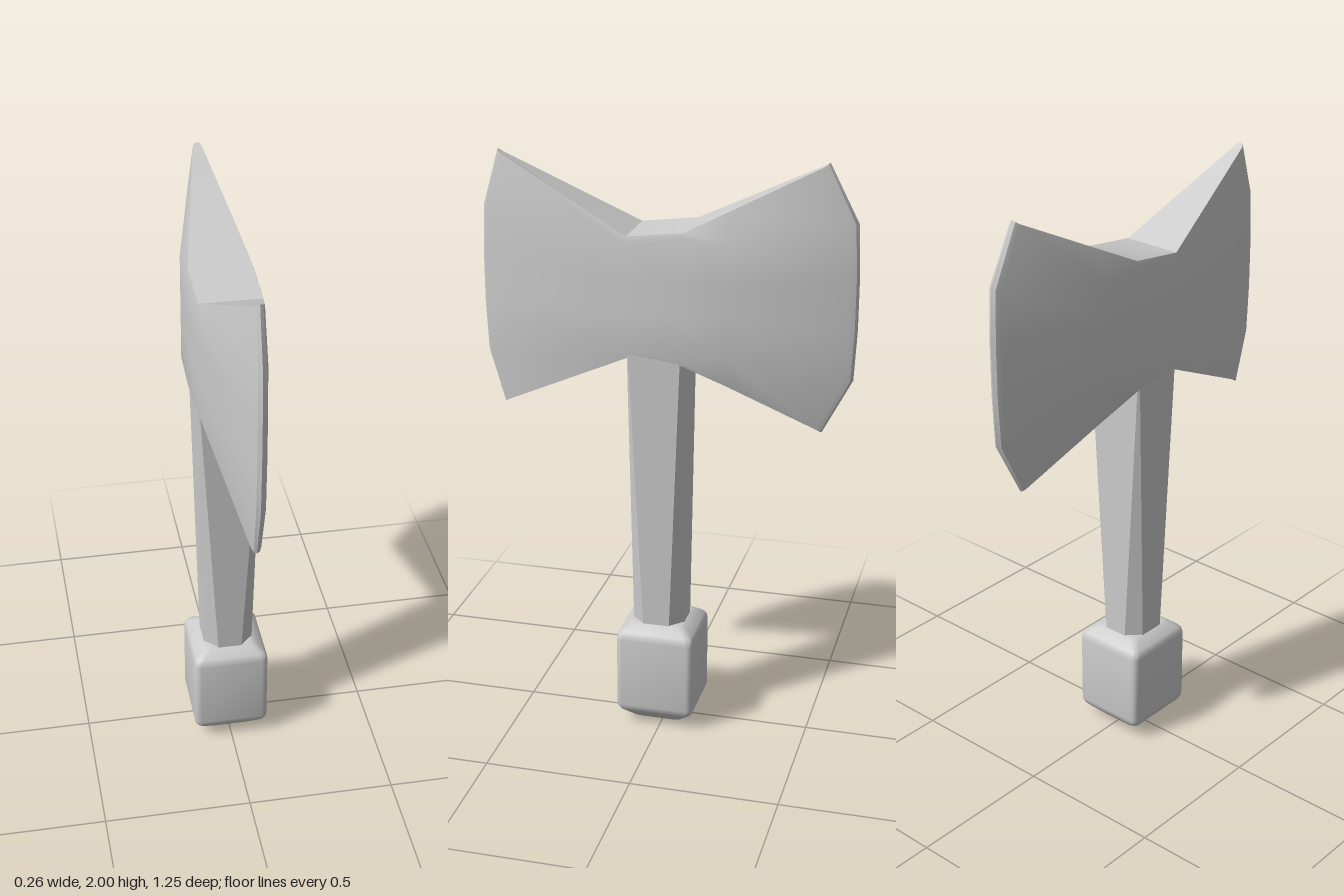
import * as THREE from 'three';
import { toCreasedNormals } from 'three/addons/utils/BufferGeometryUtils.js';

const material = new THREE.MeshStandardMaterial({ color: 0xcccccc });

// Skin between closed rings of [x, y, z], counterclockwise about the loft axis
function loft(name, rings, capped, crease) {
  const n = rings[0].length;
  const pos = rings.flat(2);
  const index = [];
  for (let i = 0; i < rings.length - 1; i++) {
    for (let j = 0; j < n; j++) {
      const a = i * n + j, b = i * n + (j + 1) % n;
      index.push(a, b, b + n, a, b + n, a + n);
    }
  }
  if (capped) {
    const last = (rings.length - 1) * n;
    for (let j = 1; j < n - 1; j++) {
      index.push(0, j + 1, j, last, last + j, last + j + 1);
    }
  }
  const g = new THREE.BufferGeometry();
  g.setAttribute('position', new THREE.Float32BufferAttribute(pos, 3));
  g.setIndex(index);
  const mesh = new THREE.Mesh(toCreasedNormals(g, crease), material);
  mesh.name = name;
  return mesh;
}

// Horizontal rectangle with corners cut or rounded by r
function cutRect(hx, hz, r, y, cz, steps) {
  const ring = [];
  for (let q = 0; q < 4; q++) {
    const sx = q < 2 ? 1 : -1, sz = q === 0 || q === 3 ? 1 : -1;
    for (let k = 0; k <= steps; k++) {
      const a = (q + k / steps) * Math.PI / 2;
      ring.push([sx * (hx - r) + r * Math.sin(a), y, cz + sz * (hz - r) + r * Math.cos(a)]);
    }
  }
  return ring;
}

// Mirror a right-hand profile, listed bottom to top, into a closed ring
const mirrored = (half) => [...half, ...half.slice().reverse().map(([x, y, z]) => [-x, y, z])];

// Head cross-section at one z: narrower top and bottom, flat cheeks
const section = (z, bottom, low, high, top, w, wEnd) => mirrored([
  [wEnd, bottom, z], [w, low, z], [w, low + (high - low) * 0.35, z],
  [w, low + (high - low) * 0.65, z], [w, high, z], [wEnd, top, z],
]);

// Curved cutting edge; inset pulls it inward, w is its half-thickness
function edge(sign, tipZ, bottom, top, inset, w) {
  const zs = [tipZ, 0.617, 0.625, 0.625, 0.617, tipZ];
  const ts = [0, 0.21, 0.4, 0.6, 0.79, 1];
  return mirrored(zs.map((z, i) => {
    const end = i === 0 || i === 5;
    const y = bottom + (top - bottom) * ts[i] + (i === 0 ? inset * 0.4 : i === 5 ? -inset * 0.4 : 0);
    return [end ? w * 0.75 : w, y, sign * (z - (end ? inset * 0.5 : inset))];
  }));
}

export function createModel() {
  const model = new THREE.Group();
  model.name = 'doubleAxe';

  // Double-bladed head, from the back edge to the front edge
  model.add(loft('axeHead', [
    edge(-1, 0.52, 1.11, 2.0, 0, 0),
    edge(-1, 0.52, 1.11, 2.0, 0.008, 0.013),
    edge(-1, 0.52, 1.11, 2.0, 0.028, 0.021),
    section(-0.22, 1.265, 1.37, 1.745, 1.845, 0.107, 0.075),
    section(-0.08, 1.33, 1.345, 1.76, 1.775, 0.107, 0.102),
    section(0.11, 1.345, 1.37, 1.725, 1.75, 0.107, 0.102),
    edge(1, 0.565, 1.12, 1.985, 0.028, 0.021),
    edge(1, 0.565, 1.12, 1.985, 0.008, 0.013),
    edge(1, 0.565, 1.12, 1.985, 0, 0),
  ], false, 0.4));

  // Handle: octagonal at the foot, square where it enters the head
  const octagon = (hx, hz, c, y) => cutRect(hx, hz, c, y, 0.018, 1);
  model.add(loft('handle', [
    octagon(0.085, 0.09, 0.045, 0.36),
    octagon(0.105, 0.092, 0.004, 1.38),
  ], true, 0.3));

  // Pommel: softened block with bevelled ends
  const levels = [
    [0, 0.055], [0.004, 0.07], [0.014, 0.085], [0.05, 0.121], [0.062, 0.128],
    [0.075, 0.13], [0.325, 0.13], [0.342, 0.127], [0.352, 0.12], [0.376, 0.09], [0.38, 0.08],
  ];
  model.add(loft('pommel',
    levels.map(([y, h]) => cutRect(h, h + 0.005, 0.022, y, 0.016, 4)), true, 0.6));

  return model;
}
